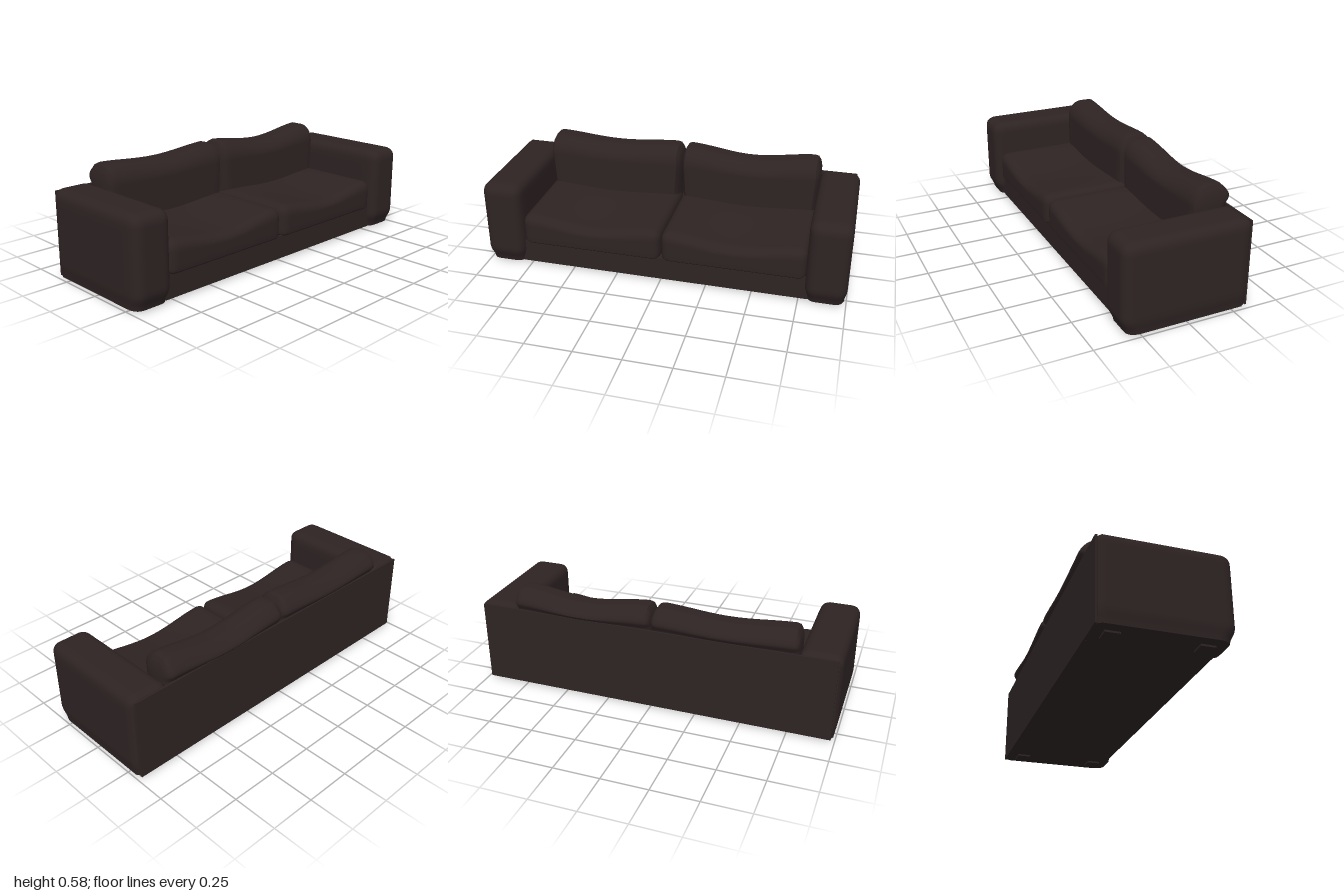
import * as THREE from 'three';
import { toCreasedNormals } from 'three/addons/utils/BufferGeometryUtils.js';

const leather = new THREE.MeshStandardMaterial({ color: 0x2e2323 });
leather.name = 'dark brown leather';

// Box between two corners, with its own rounding radius on each of the six sides,
// then reshaped by an optional rule.
function softBox(min, max, radiusLow, radiusHigh, segments, reshape) {
  const size = max.map((v, i) => v - min[i]);
  const geometry = new THREE.BoxGeometry(...size, ...segments);
  geometry.translate(...min.map((v, i) => (v + max[i]) / 2));
  const position = geometry.attributes.position;
  const p = new THREE.Vector3();
  for (let n = 0; n < position.count; n++) {
    p.fromBufferAttribute(position, n);
    const inner = [], q = [], radius = [];
    p.toArray().forEach((v, i) => {
      const low = min[i] + radiusLow[i], high = max[i] - radiusHigh[i];
      inner[i] = Math.min(Math.max(v, low), high);
      radius[i] = v < low ? radiusLow[i] : radiusHigh[i];
      q[i] = radius[i] > 0 ? (v - inner[i]) / radius[i] : 0;
    });
    const length = Math.hypot(...q);
    const scale = length > 0 ? Math.max(...q.map(Math.abs)) / length : 0;
    p.fromArray(inner.map((v, i) => v + q[i] * scale * radius[i]));
    if (reshape) reshape(p);
    position.setXYZ(n, p.x, p.y, p.z);
  }
  return toCreasedNormals(geometry, 0.7);
}

function add(group, name, geometry) {
  const mesh = new THREE.Mesh(geometry, leather);
  mesh.name = name;
  group.add(mesh);
}

function block(group, name, min, max) {
  const geometry = new THREE.BoxGeometry(...max.map((v, i) => v - min[i]));
  geometry.translate(...min.map((v, i) => (v + max[i]) / 2));
  add(group, name, geometry);
}

const smooth = THREE.MathUtils.smoothstep;

export function createModel() {
  const sofa = new THREE.Group();
  sofa.name = 'sofa';

  // Plinth and flat rear panel
  block(sofa, 'base', [-0.8, 0.01, -0.325], [0.8, 0.14, 0.3]);
  block(sofa, 'backPanel', [-0.98, 0.01, -0.335], [0.98, 0.465, -0.324]);

  for (const side of [1, -1]) {
    const label = side > 0 ? 'left' : 'right';
    const centre = side * 0.89;

    // Padded arm, tucked in towards the floor
    add(sofa, label + 'Arm', softBox(
      [centre - 0.11, 0.01, -0.325], [centre + 0.11, 0.48, 0.345],
      [0.05, 0, 0.012], [0.05, 0.05, 0.06], [14, 24, 28],
      (p) => {
        const tuck = 1 - smooth(p.y, 0.01, 0.09);
        p.x -= (p.x - centre) * 0.1 * tuck;
        p.z -= 0.028 * tuck * smooth(p.z, 0.2, 0.3);
      }));

    // Low feet
    for (const [place, z] of [['Front', 0.222], ['Rear', -0.237]]) {
      block(sofa, label + place + 'Foot',
        [centre - 0.04, 0, z - 0.038], [centre + 0.04, 0.012, z + 0.038]);
    }

    // Seat cushion, worn down in the middle
    const middle = side * 0.393, half = 0.39;
    const hollow = (x) => Math.cos(THREE.MathUtils.clamp((x - middle) / half, -1, 1) * Math.PI / 2) ** 2;
    add(sofa, label + 'SeatCushion', softBox(
      [middle - half, 0.128, -0.25], [middle + half, 0.305, 0.322],
      [0.045, 0.025, 0.03], [0.045, 0.05, 0.05], [36, 10, 28],
      (p) => {
        const top = smooth(p.y, 0.18, 0.3);
        p.y -= top * hollow(p.x) * (0.02 + 0.022 * smooth(p.z, -0.15, 0.3));
      }));

    // Back cushion with a sagging top, overhanging the rear panel
    const sag = side > 0 ? 0.04 : 0.024;
    add(sofa, label + 'BackCushion', softBox(
      [middle - half - 0.002, 0.22, -0.325], [middle + half + 0.002, 0.582, -0.138],
      [0.035, 0.04, 0.045], [0.035, 0.1, 0.09], [36, 28, 14],
      (p) => {
        const overhang = smooth(p.y, 0.465, 0.505) * (1 - smooth(p.y, 0.51, 0.58));
        p.z -= 0.022 * overhang * smooth(-p.z, 0.23, 0.32);
        p.y -= smooth(p.y, 0.4, 0.58) * hollow(p.x) * sag;
        p.x += (middle - p.x) * 0.025 * (1 - smooth(p.y, 0.28, 0.5));
      }));
  }
  return sofa;
}
